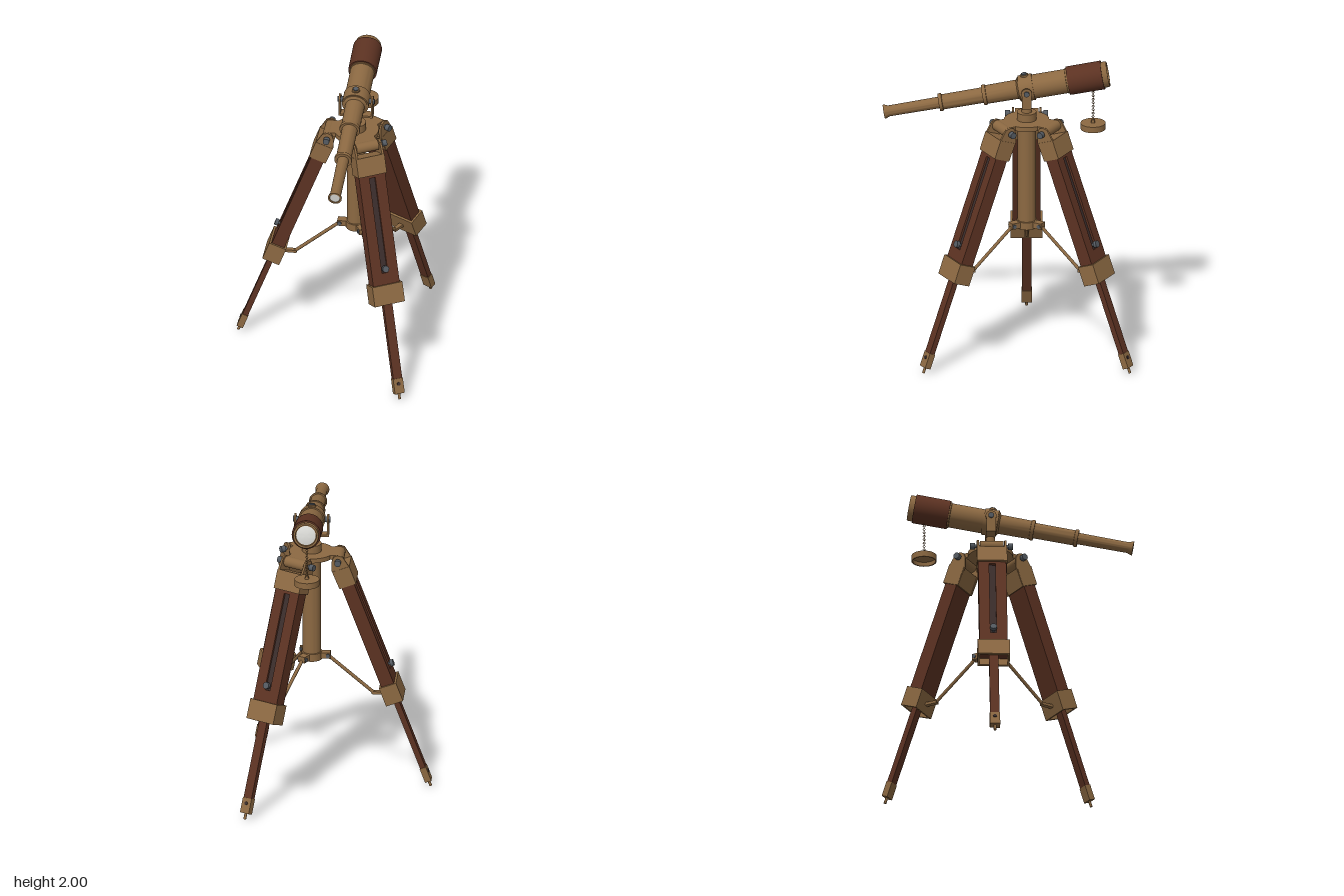
import * as THREE from 'three';
import { toCreasedNormals } from 'three/addons/utils/BufferGeometryUtils.js';

const mat = (name, color) => {
  const m = new THREE.MeshStandardMaterial({ color });
  m.name = name;
  return m;
};

export function createModel() {
  const brass = mat('brass', 0x8c6942);
  const wood = mat('wood', 0x5c3222);
  const dark = mat('darkSlot', 0x3a2d2b);
  const steel = mat('steel', 0x555b62);
  const glass = mat('glass', 0xdcdcd8);

  const root = new THREE.Group();
  root.name = 'telescopeOnTripod';
  const stand = new THREE.Group();
  stand.name = 'stand';
  stand.position.set(0.175, 0, -0.12);
  root.add(stand);

  const add = (parent, name, geo, material, x = 0, y = 0, z = 0) => {
    const m = new THREE.Mesh(geo, material);
    m.name = name;
    m.position.set(x, y, z);
    parent.add(m);
    return m;
  };
  const box = (w, h, d) => new THREE.BoxGeometry(w, h, d);
  const cyl = (r, h, n = 24, r2 = r) => new THREE.CylinderGeometry(r, r2, h, n);
  const lathe = (pts, n = 36) =>
    toCreasedNormals(new THREE.LatheGeometry(pts.map(p => new THREE.Vector2(...p)), n), 0.6);
  const shapeOf = pts => new THREE.Shape(pts.map(p => new THREE.Vector2(...p)));
  const rect = (w, y0, y1) => [[-w, y0], [w, y0], [w, y1], [-w, y1]];
  const extrude = (shape, depth) => new THREE.ExtrudeGeometry(shape, { depth, bevelEnabled: false });
  // Round rod between two points
  const rod = (parent, name, a, b, r, material) => {
    const d = b.clone().sub(a);
    const m = add(parent, name, cyl(r, d.length(), 10), material);
    m.position.copy(a).add(b).multiplyScalar(0.5);
    m.quaternion.setFromUnitVectors(new THREE.Vector3(0, 1, 0), d.normalize());
    return m;
  };

  // Centre post, cap, lower ring and hub disc
  add(stand, 'centrePost', lathe([[0, 0.86], [0.066, 0.86], [0.066, 0.91], [0.059, 0.912],
    [0.059, 1.6], [0.062, 1.602], [0.062, 1.655], [0, 1.655]]), brass);
  add(stand, 'hubDisc', cyl(0.145, 0.03, 40), brass, 0, 1.588, 0);

  // Side plate of the leg hinge
  const ear = extrude(shapeOf([[-0.058, -0.18], [0.055, -0.18], [0.052, -0.05], [0.038, 0.018],
    [0.01, 0.038], [-0.018, 0.036], [-0.04, 0.01], [-0.062, -0.05]]), 0.014);
  // Slotted outer board of the leg
  const boardShape = shapeOf(rect(0.09, -0.98, -0.17));
  boardShape.holes.push(new THREE.Path(rect(0.02, -0.83, -0.2).map(p => new THREE.Vector2(...p))));
  const board = extrude(boardShape, 0.02);
  // Hollow collar
  const collarShape = shapeOf([[-0.058, -0.103], [0.058, -0.103], [0.058, 0.103], [-0.058, 0.103]]);
  collarShape.holes.push(new THREE.Path(
    [[-0.044, -0.09], [0.044, -0.09], [0.044, 0.09], [-0.044, 0.09]].map(p => new THREE.Vector2(...p))));
  const collar = extrude(collarShape, 0.13);

  const buildLeg = angle => {
    // Arm frame: +x points outward from the post
    const arm = new THREE.Group();
    arm.name = 'legAssembly';
    arm.rotation.y = angle;
    stand.add(arm);
    add(arm, 'hubArm', box(0.18, 0.03, 0.15), brass, 0.09, 1.588, 0);
    add(arm, 'hingeBarrel', cyl(0.035, 0.15), brass, 0.175, 1.57, 0).rotation.x = Math.PI / 2;

    // Brace from lower ring to collar
    add(arm, 'braceLug', box(0.06, 0.04, 0.05), brass, 0.09, 0.888, 0);
    add(arm, 'bracePin', cyl(0.013, 0.064, 12), steel, 0.105, 0.888, 0).rotation.x = Math.PI / 2;
    rod(arm, 'brace', new THREE.Vector3(0.1, 0.888, 0), new THREE.Vector3(0.395, 0.637, 0), 0.011, brass);
    add(arm, 'braceFoot', box(0.08, 0.018, 0.03), brass, 0.425, 0.636, 0);

    // Leg frame: pivot at the origin, leg runs along -y
    const leg = new THREE.Group();
    leg.name = 'leg';
    leg.position.set(0.175, 1.57, 0);
    leg.rotation.z = 0.359;
    arm.add(leg);
    for (const s of [-1, 1]) {
      add(leg, 'hingePlate', ear, brass, 0, 0, s * 0.088 - 0.007);
      add(leg, 'hingeBolt', cyl(0.012, 0.05, 12), steel, 0, 0, s * 0.105).rotation.x = Math.PI / 2;
      add(leg, 'hingeKnob', cyl(0.021, 0.03, 16), steel, 0, 0, s * 0.122).rotation.x = Math.PI / 2;
    }
    add(leg, 'legHead', box(0.112, 0.125, 0.194), brass, 0, -0.1185, 0);
    add(leg, 'upperLegBack', box(0.066, 0.81, 0.18), wood, -0.011, -0.575, 0);
    add(leg, 'upperLegFront', board, wood, 0.022, 0, 0).rotation.y = Math.PI / 2;
    add(leg, 'slotFloor', box(0.006, 0.63, 0.04), dark, 0.025, -0.515, 0);
    add(leg, 'clampBolt', cyl(0.01, 0.05, 12), steel, 0.045, -0.8, 0).rotation.z = Math.PI / 2;
    add(leg, 'clampKnob', cyl(0.022, 0.022, 16), steel, 0.062, -0.8, 0).rotation.z = Math.PI / 2;
    add(leg, 'collar', collar, brass, 0, -1.035, 0).rotation.x = -Math.PI / 2;
    add(leg, 'lowerLeg', box(0.036, 0.62, 0.06), wood, 0, -1.25, 0);
    add(leg, 'legShoe', box(0.042, 0.1, 0.066), brass, 0, -1.585, 0);
    add(leg, 'shoeScrew', cyl(0.012, 0.006, 12), dark, 0.023, -1.57, 0).rotation.z = Math.PI / 2;
    add(leg, 'footSpike', cyl(0.009, 0.05, 10), brass, 0, -1.649, 0);
  };
  [Math.PI, Math.PI / 3, -Math.PI / 3].forEach(buildLeg);

  // Yoke that carries the tube
  add(stand, 'yokeStem', cyl(0.026, 0.08, 20, 0.034), brass, 0, 1.685, 0);
  add(stand, 'yokeBase', box(0.222, 0.014, 0.06), brass, 0, 1.717, 0);
  for (const s of [-1, 1]) {
    add(stand, 'yokeArm', box(0.012, 0.11, 0.06), brass, s * 0.105, 1.77, 0);
    add(stand, 'yokeEye', cyl(0.035, 0.012), brass, s * 0.105, 1.82, 0).rotation.z = Math.PI / 2;
    add(stand, 'yokeKnob', cyl(0.018, 0.04, 16), steel, s * 0.1, 1.82, 0).rotation.z = Math.PI / 2;
  }

  // Telescope: +y runs along the tube to the big lens, +z is its upper side
  const scope = new THREE.Group();
  scope.name = 'telescope';
  scope.position.y = 1.82;
  scope.rotation.x = -(Math.PI / 2 - 0.18);
  stand.add(scope);
  add(scope, 'brassTube', lathe([[0, -0.92], [0.032, -0.92], [0.034, -0.928], [0.045, -0.928],
    [0.044, -0.918], [0.035, -0.895], [0.037, -0.57], [0.056, -0.57], [0.058, -0.56], [0.056, -0.548],
    [0.049, -0.546], [0.05, -0.285], [0.065, -0.285], [0.067, -0.275], [0.065, -0.262], [0.06, -0.26],
    [0.062, -0.06], [0.078, -0.05], [0.078, 0.26], [0.083, 0.262], [0.083, 0.525], [0.08, 0.53],
    [0.068, 0.53], [0.066, 0.515], [0, 0.515]]), brass);
  add(scope, 'saddleRing', lathe([[0.07, -0.045], [0.086, -0.045], [0.086, 0.045], [0.07, 0.045]]), brass);
  add(scope, 'woodSleeve', lathe([[0.08, 0.27], [0.092, 0.27], [0.093, 0.495], [0.08, 0.495]]), wood);
  add(scope, 'eyeLens', cyl(0.032, 0.006), glass, 0, -0.922, 0);
  add(scope, 'frontLens', lathe([[0.066, 0.514], [0.045, 0.52], [0.02, 0.523], [0, 0.524]]), glass);
  add(scope, 'ringScrewSeat', cyl(0.026, 0.016, 20), brass, 0, 0, 0.086).rotation.x = Math.PI / 2;
  add(scope, 'ringScrew', cyl(0.018, 0.02, 16), steel, 0, 0, 0.092).rotation.x = Math.PI / 2;

  // Hanging lens cap on a chain
  const cap = new THREE.Group();
  cap.name = 'hangingCap';
  cap.position.z = -0.425;
  stand.add(cap);
  add(cap, 'lensCap', lathe([[0, 1.565], [0.072, 1.565], [0.072, 1.538], [0.08, 1.538],
    [0.08, 1.578], [0.014, 1.58], [0.012, 1.6], [0, 1.602]]), brass);
  const link = new THREE.TorusGeometry(0.007, 0.002, 6, 12);
  for (let i = 0; i < 17; i++)
    add(cap, 'chainLink', link, brass, 0, 1.608 + i * 0.012, 0).rotation.y = (i % 2) * Math.PI / 2;

  return root;
}
